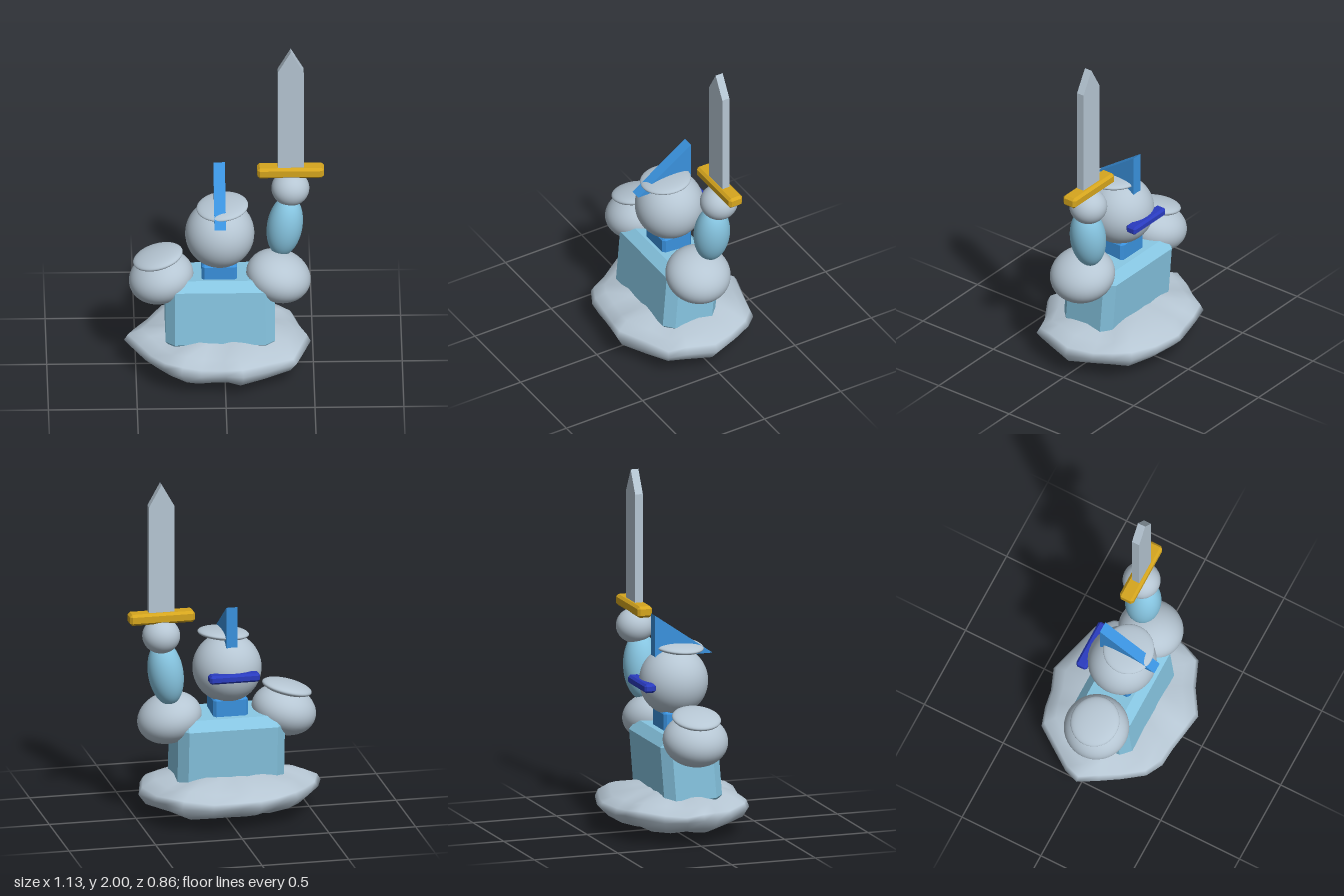
import * as THREE from 'three';
import { ConvexGeometry } from 'three/addons/geometries/ConvexGeometry.js';

export function createModel() {
  const model = new THREE.Group();
  const paint = (name, color) => Object.assign(new THREE.MeshStandardMaterial({ color }), { name });
  const steel = paint('pale steel', 0xb6c6d3);
  const sky = paint('sky blue', 0x87c6e2);
  const blue = paint('mid blue', 0x3a92de);
  const navy = paint('deep blue', 0x2a3cc0);
  const gold = paint('gold', 0xd6a61e);

  function add(name, geometry, material, x = 0, y = 0, z = 0) {
    const mesh = new THREE.Mesh(geometry, material);
    mesh.name = name;
    mesh.position.set(x, y, z);
    model.add(mesh);
    return mesh;
  }

  // Smooth ellipsoid from its three radii
  const ellipsoid = (rx, ry, rz) => new THREE.SphereGeometry(1, 40, 28).scale(rx, ry, rz);

  // Box with every edge cut by a flat chamfer
  function chamferBox(w, h, d, b) {
    const points = [];
    for (const sx of [-1, 1]) for (const sy of [-1, 1]) for (const sz of [-1, 1])
      for (let flush = 0; flush < 3; flush++) {
        const cut = [b, b, b];
        cut[flush] = 0;
        points.push(new THREE.Vector3(sx * (w / 2 - cut[0]), sy * (h / 2 - cut[1]), sz * (d / 2 - cut[2])));
      }
    return new ConvexGeometry(points);
  }

  // Side profile extruded to a centred thickness
  function plate(points, depth) {
    const shape = new THREE.Shape(points.map(([x, y]) => new THREE.Vector2(x, y)));
    return new THREE.ExtrudeGeometry(shape, { depth, bevelEnabled: false }).translate(0, 0, -depth / 2);
  }

  // Uneven stone base: one outline stacked at several scales
  const outline = [
    [-0.02, -0.43], [0.14, -0.39], [0.31, -0.34], [0.39, -0.26], [0.43, -0.15], [0.485, 0],
    [0.44, 0.17], [0.4, 0.27], [0.25, 0.33], [0.1, 0.425], [0, 0.41], [-0.14, 0.385],
    [-0.25, 0.38], [-0.35, 0.33], [-0.43, 0.21], [-0.5, 0.1], [-0.565, 0], [-0.53, -0.09],
    [-0.45, -0.2], [-0.36, -0.33], [-0.25, -0.365], [-0.14, -0.385]];
  const layers = [ // scale, height, centre x, centre z
    [0, 0.005, 0.05, 0.08], [0.32, 0.018, 0.03, 0.06], [0.68, 0.05, -0.01, 0.03], [0.9, 0.095, -0.03, 0.01],
    [1, 0.15, -0.04, 0], [0.96, 0.185, -0.04, 0], [0.82, 0.222, -0.04, 0], [0.5, 0.257, -0.03, 0], [0, 0.272, -0.02, 0]];
  const positions = [], indices = [], n = outline.length;
  layers.forEach(([s, y, cx, cz], j) => outline.forEach(([x, z], i) => {
    const wobble = 0.012 * Math.sin(i * 1.9 + j * 0.6) * Math.min(1, s * 1.2);
    positions.push(cx + (x + 0.04) * s, Math.max(y + wobble, 0), cz + z * s);
    if (j < layers.length - 1) {
      const a = j * n + i, b = j * n + (i + 1) % n;
      indices.push(a, a + n, b, b, a + n, b + n);
    }
  }));
  const rock = new THREE.BufferGeometry();
  rock.setAttribute('position', new THREE.Float32BufferAttribute(positions, 3));
  rock.setIndex(indices);
  rock.computeVertexNormals();
  add('stoneBase', rock, steel);

  // Torso leaning slightly back, with the neck
  add('torso', chamferBox(0.615, 0.43, 0.345, 0.052), sky, -0.027, 0.39, 0.02).rotation.x = -0.08;
  add('neck', chamferBox(0.2, 0.14, 0.19, 0.015), blue, -0.03, 0.635, 0.01);

  // Head with its brow cap, crest and rear bar
  add('head', ellipsoid(0.195, 0.197, 0.195), steel, -0.027, 0.86, 0.008);
  add('headCap', ellipsoid(0.146, 0.031, 0.144), steel, -0.013, 1.053, 0.042).rotation.set(0.06, 0, 0.09);
  add('crest', plate([[-0.23, 1.01], [0.115, 1.01], [0.115, 1.25]], 0.065), blue, -0.028, 0, 0)
    .rotation.y = Math.PI / 2;
  add('rearBar', chamferBox(0.29, 0.05, 0.068, 0.012), navy, -0.025, 0.855, -0.18);

  // Shoulders sloping away from the neck
  for (const [name, x, side] of [['leftShoulder', 0.303, 1], ['rightShoulder', -0.357, -1]])
    add(name, ellipsoid(0.185, 0.14, 0.185), steel, x, 0.583, 0.018).rotation.z = -0.3 * side;
  add('rightShoulderCap', ellipsoid(0.144, 0.036, 0.138), steel, -0.375, 0.714, 0.018).rotation.z = 0.25;

  // Raised left arm and fist
  add('leftArm', ellipsoid(0.1, 0.19, 0.103), sky, 0.34, 0.87, -0.05).rotation.z = -0.15;
  add('leftFist', ellipsoid(0.107, 0.1, 0.107), steel, 0.372, 1.1, -0.077);

  // Sword
  add('swordGuard', chamferBox(0.375, 0.065, 0.088, 0.014), gold, 0.373, 1.213, -0.081);
  add('swordBlade', plate([[-0.073, 1.2], [0.073, 1.2], [0.073, 1.87], [0, 2], [-0.073, 1.87]], 0.046), steel, 0.374, 0, -0.078);

  return model;
}
